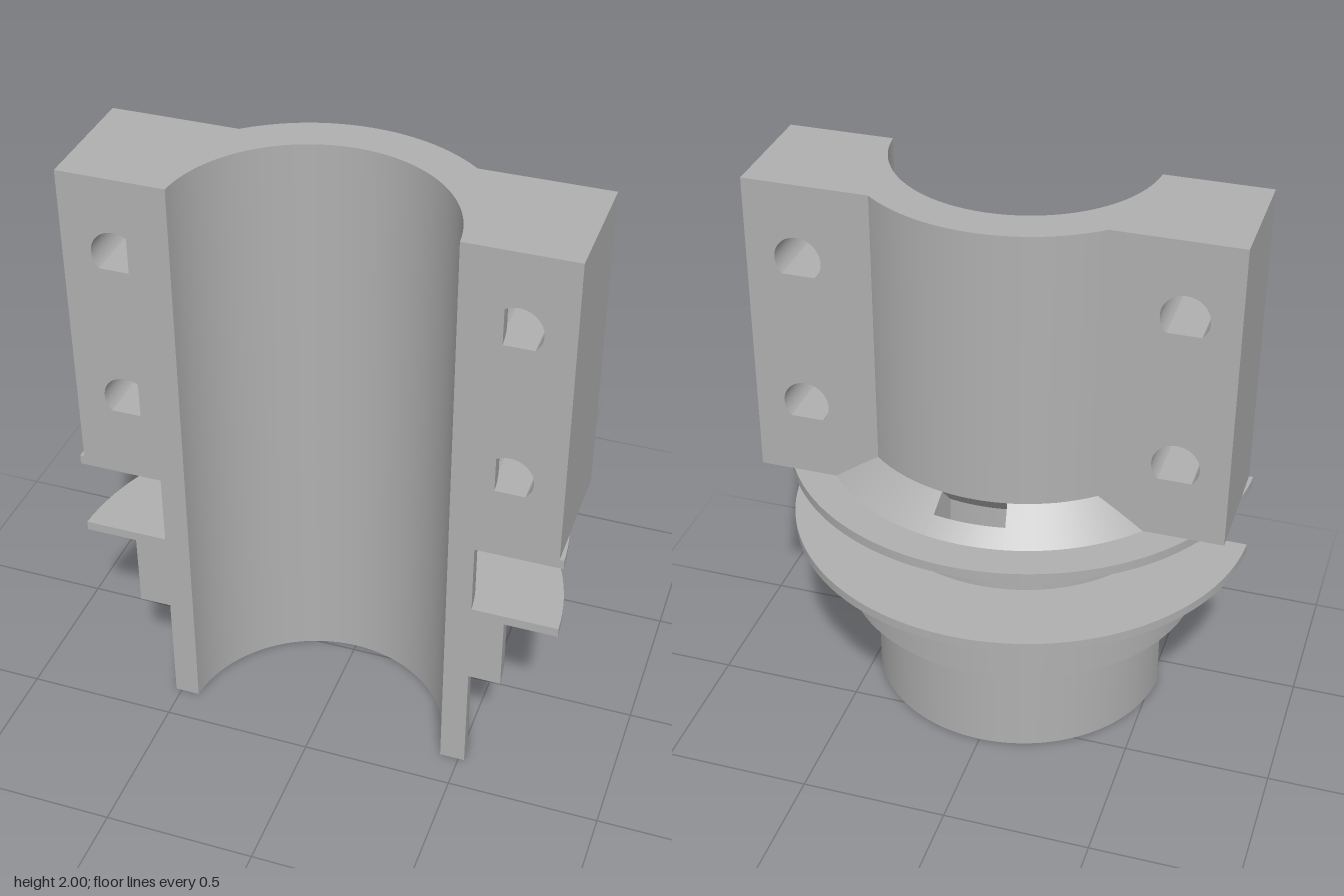
import * as THREE from 'three';
import { mergeGeometries } from 'three/addons/utils/BufferGeometryUtils.js';

const AXIS_Z = 0.416;   // axis of the turned surfaces
const FRONT_Z = 0.385;  // flat parting face
const SLOT = 0.19;      // half angle of the slot in the upper flange

// Sweeps a closed counter-clockwise (radius, y) profile round the back,
// trimming the ends on the parting face. Each profile edge stays sharp.
function sweep(profile, from, to, steps) {
  const point = (r, y, t) => {
    const trim = Math.asin((AXIS_Z - FRONT_Z) / r);
    const a0 = Math.max(from, trim), a1 = Math.min(to, Math.PI - trim);
    const a = a0 + (a1 - a0) * t;
    return [r * Math.cos(a), y, AXIS_Z - r * Math.sin(a)];
  };
  const build = (positions, index) => {
    const g = new THREE.BufferGeometry();
    g.setAttribute('position', new THREE.Float32BufferAttribute(positions, 3));
    g.setIndex(index);
    g.computeVertexNormals();
    return g;
  };
  const parts = profile.map((p, k) => {
    const q = profile[(k + 1) % profile.length];
    const pos = [], idx = [];
    for (let i = 0; i <= steps; i++) {
      pos.push(...point(p[0], p[1], i / steps), ...point(q[0], q[1], i / steps));
      if (i < steps) {
        const a = 2 * i;
        idx.push(a, a + 2, a + 3, a, a + 3, a + 1);
      }
    }
    return build(pos, idx);
  });
  // End caps
  const faces = THREE.ShapeUtils.triangulateShape(profile.map(p => new THREE.Vector2(...p)), []);
  for (const t of [0, 1]) {
    const idx = faces.flatMap(([a, b, c]) => (t === 0 ? [a, b, c] : [a, c, b]));
    parts.push(build(profile.flatMap(p => point(p[0], p[1], t)), idx));
  }
  return mergeGeometries(parts);
}

// Round hole with a pointed lower end
function teardrop(x, y, r) {
  const hole = new THREE.Path();
  hole.moveTo(x, y - r * Math.SQRT2);
  hole.absarc(x, y, r, -Math.PI / 4, Math.PI * 1.25, false);
  hole.closePath();
  return hole;
}

export function createModel() {
  const group = new THREE.Group();
  const grey = new THREE.MeshStandardMaterial({ color: 0xb0b0b0 });
  grey.name = 'grey plastic';
  const add = (name, geometry) => {
    const mesh = new THREE.Mesh(geometry, grey);
    mesh.name = name;
    group.add(mesh);
    return mesh;
  };

  // Half sleeve with the lower collar and lower flange
  add('sleeve', sweep([
    [0.438, 0], [0.521, 0], [0.521, 0.388], [0.627, 0.388], [0.627, 0.645],
    [0.8, 0.645], [0.8, 0.677], [0.521, 0.677], [0.521, 1.0], [0.573, 1.06],
    [0.573, 2], [0.438, 2],
  ], 0, Math.PI, 72));

  // Upper flange with its cone, interrupted by a slot at the back
  const flange = [[0.521, 0.922], [0.8, 0.922], [0.8, 0.955], [0.68, 0.955], [0.573, 1.06], [0.521, 1.0]];
  const mid = Math.PI / 2;
  add('upperFlangeLeft', sweep(flange, 0, mid - SLOT, 32));
  add('upperFlangeRight', sweep(flange, mid + SLOT, Math.PI, 32));
  add('slotRim', sweep(
    [[0.629, 0.922], [0.8, 0.922], [0.8, 0.955], [0.68, 0.955], [0.629, 1.005]],
    mid - SLOT, mid + SLOT, 10));

  // Bolting blocks, one on each side
  const backZ = -0.021, bottom = 0.955, inner = 0.5, outer = 0.785;
  for (const side of [1, -1]) {
    const label = side > 0 ? 'Left' : 'Right';
    const xs = [inner * side, outer * side].sort((a, b) => a - b);
    const face = new THREE.Shape();
    face.moveTo(xs[0], bottom);
    face.lineTo(xs[1], bottom);
    face.lineTo(xs[1], 2);
    face.lineTo(xs[0], 2);
    face.closePath();
    for (const y of [1.22, 1.744]) face.holes.push(teardrop(0.613 * side, y, 0.077));
    const block = new THREE.ExtrudeGeometry(face, {
      depth: FRONT_Z - backZ, bevelEnabled: false, curveSegments: 32,
    });
    block.translate(0, 0, backZ);
    add('boltBlock' + label, block);

    // Web joining the block to the round sleeve
    const r = 0.55;
    const a0 = Math.acos(inner / r), a1 = Math.asin((AXIS_Z - backZ) / r);
    const web = new THREE.Shape();
    web.moveTo(inner * side, -backZ);
    for (let i = 0; i <= 12; i++) {
      const a = a0 + (a1 - a0) * i / 12;
      web.lineTo(r * Math.cos(a) * side, r * Math.sin(a) - AXIS_Z);
    }
    web.closePath();
    const webGeometry = new THREE.ExtrudeGeometry(web, { depth: 2 - bottom, bevelEnabled: false });
    webGeometry.rotateX(-Math.PI / 2);
    webGeometry.translate(0, bottom, 0);
    add('blockWeb' + label, webGeometry);
  }
  return group;
}
